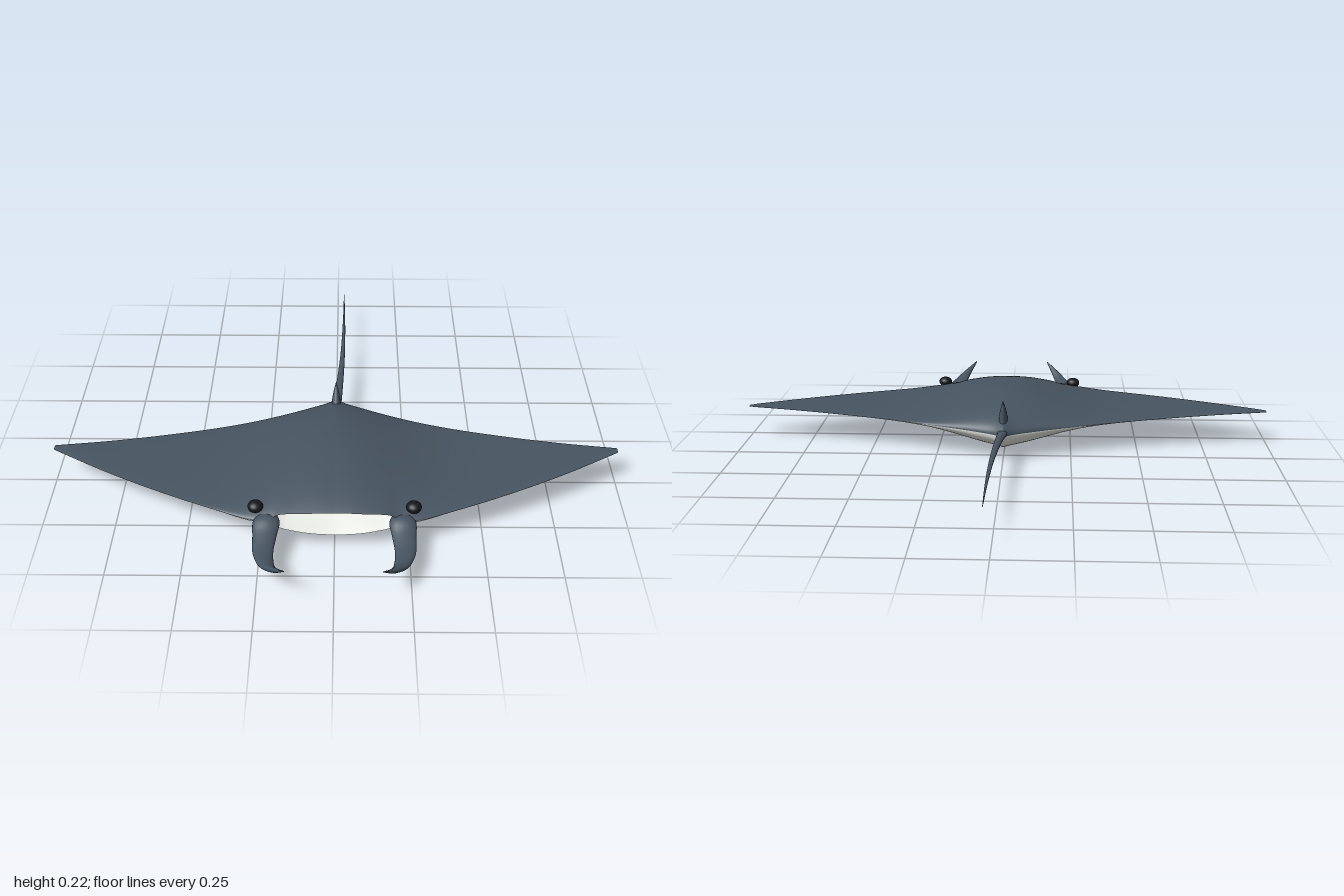
import * as THREE from 'three';

const slate = new THREE.MeshStandardMaterial({ color: 0x475460, side: THREE.DoubleSide });
slate.name = 'slate skin';
const pale = new THREE.MeshStandardMaterial({ color: 0xe6e8e3, side: THREE.DoubleSide });
pale.name = 'pale belly';
const black = new THREE.MeshStandardMaterial({ color: 0x15191d });
black.name = 'eye black';

// Smooth curve through (x, value) pairs
function curve(xs, values) {
  const c = new THREE.CubicInterpolant(xs, values, 1, new Float32Array(1));
  return x => c.evaluate(x)[0];
}

// Disc outline: leading and trailing edges by distance from the centre line
const leading = curve([0, 0.1, 0.19, 0.26, 0.4, 0.6, 0.8, 1], [0.605, 0.605, 0.597, 0.598, 0.545, 0.455, 0.35, 0.23]);
const trailing = curve([0, 0.03, 0.1, 0.2, 0.4, 0.6, 0.8, 1], [-0.1, -0.075, -0.04, 0, 0.07, 0.125, 0.17, 0.205]);
const midHeight = ax => 0.1 + 0.02 * ax;

// Five shallow gill folds on each side of the belly
function gillFold(ax, z) {
  const band = Math.exp(-Math.pow((ax - 0.15) / 0.055, 4));
  let d = 0;
  for (let i = 0; i < 5; i++) d += Math.exp(-Math.pow((z - 0.22 - i * 0.052 + (ax - 0.15) * 0.3) / 0.016, 2));
  return 0.006 * band * d;
}

// Point on the upper (side = 1) or lower (side = -1) skin; t runs from back to front
function skin(x, t, side) {
  const ax = Math.abs(x);
  const zb = trailing(ax), z = zb + (leading(ax) - zb) * t;
  const bulge = (side > 0 ? 0.09 : 0.096) * Math.exp(-Math.pow(ax / 0.27, 2));
  const h = (bulge + 0.004) * Math.sqrt(Math.max(0, 1 - Math.pow(ax, 30)));
  const gap = 0.48 * (1 - THREE.MathUtils.smoothstep(ax, 0.17, 0.25)); // open mouth
  const s = t < 0.54 ? 1 - t / 0.54 : ((t - 0.54) / 0.46) * Math.sqrt(1 - gap * gap);
  let y = midHeight(ax) + side * h * Math.sqrt(Math.max(0, 1 - s * s));
  if (side < 0) y += gillFold(ax, z);
  return [x, y, z];
}

// Indexed surface from a grid of points; wrapping rows share no seam
function surface(nu, nv, point, flip, wrap = false) {
  const pos = [], idx = [];
  const row = wrap ? nv : nv + 1;
  for (let i = 0; i <= nu; i++)
    for (let j = 0; j < row; j++) pos.push(...point(i / nu, j / nv));
  for (let i = 0; i < nu; i++)
    for (let j = 0; j < nv; j++) {
      const k = (j + 1) % row;
      const a = i * row + j, b = i * row + k, c = a + row, d = b + row;
      if (flip) idx.push(a, c, b, b, c, d);
      else idx.push(a, b, c, b, d, c);
    }
  const g = new THREE.BufferGeometry();
  g.setAttribute('position', new THREE.Float32BufferAttribute(pos, 3));
  g.setIndex(idx);
  g.computeVertexNormals();
  return g;
}

// Tapered limb through sections [x, y, z, radiusA, radiusB]; upright limbs use level rings
function limb(sections, upright = false) {
  const path = new THREE.CatmullRomCurve3(sections.map(s => new THREE.Vector3(s[0], s[1], s[2])));
  const size = new THREE.CatmullRomCurve3(sections.map(s => new THREE.Vector3(s[3], s[4], 0)));
  return surface(28, 20, (u, v) => {
    const p = path.getPoint(u), r = size.getPoint(u), a = v * Math.PI * 2;
    const ca = Math.cos(a) * r.x, sa = Math.sin(a) * r.y;
    return upright ? [p.x + ca, p.y, p.z - sa] : [p.x + ca, p.y + sa, p.z];
  }, false, true);
}

export function createModel() {
  const model = new THREE.Group();
  model.name = 'mantaRay';
  const add = (name, geometry, material) => {
    const mesh = new THREE.Mesh(geometry, material);
    mesh.name = name;
    model.add(mesh);
    return mesh;
  };

  // Back and belly skins, with points gathered towards the centre and the edges
  const skinGrid = side => (u, v) => {
    const w = 2 * u - 1;
    return skin(Math.sign(w) * Math.pow(Math.abs(w), 1.35), (1 - Math.cos(v * Math.PI)) / 2, side);
  };
  add('backSkin', surface(120, 96, skinGrid(1), false), slate);
  add('bellySkin', surface(120, 96, skinGrid(-1), true), pale);

  // Mouth lining runs from each lip to a fold inside
  const lining = side => (u, v) => {
    const x = (2 * u - 1) * 0.25;
    const [, y, z] = skin(x, 1, side);
    return [x * (1 - 0.06 * v), THREE.MathUtils.lerp(y, midHeight(Math.abs(x)), v), z - 0.1 * v];
  };
  add('mouthRoof', surface(40, 4, lining(1), false), slate);
  add('mouthFloor', surface(40, 4, lining(-1), true), pale);

  // Long whip tail, listed from tip to root
  add('tail', limb([
    [0.027, 0.124, -0.885, 0.001, 0.001],
    [0.027, 0.122, -0.65, 0.005, 0.004],
    [0.022, 0.118, -0.4, 0.009, 0.007],
    [0.01, 0.113, -0.18, 0.014, 0.01],
    [0.002, 0.109, -0.09, 0.018, 0.012],
    [0, 0.108, -0.03, 0.02, 0.014],
  ]), slate);

  // Small swept dorsal fin
  add('dorsalFin', limb([
    [0, 0.125, -0.022, 0.018, 0.042],
    [0, 0.155, -0.028, 0.016, 0.034],
    [0, 0.19, -0.042, 0.01, 0.019],
    [0, 0.222, -0.055, 0.001, 0.002],
  ], true), slate);

  // Eyes and curled head fins on both sides
  for (const s of [-1, 1]) {
    const label = s > 0 ? 'left' : 'right';
    const eye = add(label + 'Eye', new THREE.SphereGeometry(0.026, 20, 14), black);
    eye.scale.y = 0.75;
    eye.position.set(s * 0.263, 0.137, 0.56);

    add(label + 'HeadFin', limb([
      [s * 0.225, 0.104, 0.555, 0.03, 0.012],
      [s * 0.226, 0.101, 0.605, 0.045, 0.023],
      [s * 0.229, 0.086, 0.65, 0.04, 0.019],
      [s * 0.231, 0.076, 0.72, 0.034, 0.014],
      [s * 0.216, 0.083, 0.79, 0.026, 0.013],
      [s * 0.19, 0.108, 0.84, 0.015, 0.011],
      [s * 0.155, 0.144, 0.885, 0.002, 0.002],
    ]), slate);
  }
  return model;
}
